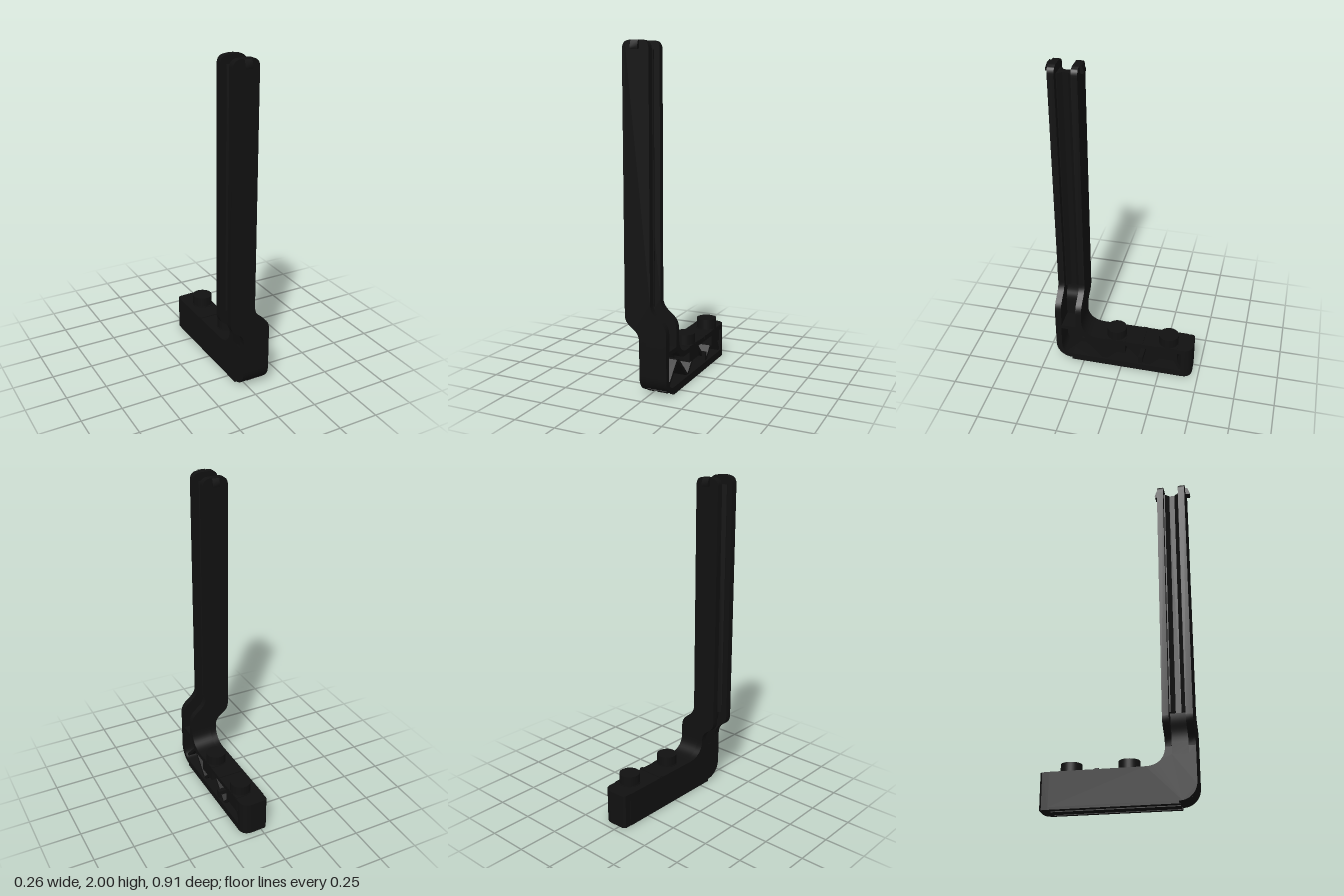
import * as THREE from 'three';
import { toCreasedNormals } from 'three/addons/utils/BufferGeometryUtils.js';

const material = new THREE.MeshStandardMaterial({ color: 0x111111 });

export function createModel() {
  const group = new THREE.Group();

  const add = (name, geometry) => {
    const mesh = new THREE.Mesh(geometry, material);
    mesh.name = name;
    group.add(mesh);
    return mesh;
  };
  const extrude = (shape, depth) => toCreasedNormals(
    new THREE.ExtrudeGeometry(shape, { depth, bevelEnabled: false, curveSegments: 10 }), 0.6);
  const polygon = (points) => new THREE.Shape(points.map(([x, y]) => new THREE.Vector2(x, y)));
  // Extrusions along each axis: side shapes use (-z, y), plan shapes use (x, -z)
  const alongZ = (name, shape, z0, z1) => add(name, extrude(shape, z1 - z0).translate(0, 0, z0));
  const alongX = (name, shape, x0, x1) => add(name, extrude(shape, x1 - x0).rotateY(Math.PI / 2).translate(x0, 0, 0));
  const alongY = (name, shape, y0, y1) => add(name, extrude(shape, y1 - y0).rotateX(-Math.PI / 2).translate(0, y0, 0));
  const box = (name, x0, x1, y0, y1, z0, z1) => add(name,
    new THREE.BoxGeometry(x1 - x0, y1 - y0, z1 - z0).translate((x0 + x1) / 2, (y0 + y1) / 2, (z0 + z1) / 2));

  // Upright flanges: rounded top, S-bend towards the base
  const flange = new THREE.Shape();
  flange.moveTo(-0.045, 0.32);
  flange.lineTo(0.125, 0.32);
  flange.lineTo(0.125, 0.38);
  flange.bezierCurveTo(0.125, 0.47, 0.025, 0.46, 0.025, 0.55);
  flange.lineTo(0.025, 1.95);
  flange.quadraticCurveTo(0.025, 2, -0.025, 2);
  flange.lineTo(-0.085, 2);
  flange.quadraticCurveTo(-0.135, 2, -0.135, 1.95);
  flange.lineTo(-0.135, 0.47);
  flange.bezierCurveTo(-0.135, 0.39, -0.045, 0.41, -0.045, 0.32);
  alongZ('rearFlange', flange, 0.26, 0.298);
  alongZ('frontFlange', flange, 0.392, 0.432);

  // Web with sloped fillets between the flanges
  alongY('uprightWeb', polygon([
    [-0.1, -0.295], [-0.1, -0.305], [-0.075, -0.33], [-0.075, -0.362], [-0.1, -0.387], [-0.1, -0.395],
    [-0.01, -0.395], [-0.01, -0.387], [-0.035, -0.362], [-0.035, -0.33], [-0.01, -0.305], [-0.01, -0.295],
  ]), 0.5, 1.95);

  // Lower web follows the bend and closes the right side of the base
  const bend = new THREE.Shape();
  bend.moveTo(-0.044, 0.2);
  bend.lineTo(-0.005, 0.2);
  bend.lineTo(-0.005, 0.36);
  bend.bezierCurveTo(-0.005, 0.45, -0.035, 0.42, -0.035, 0.52);
  bend.lineTo(-0.075, 0.52);
  bend.bezierCurveTo(-0.075, 0.42, -0.044, 0.44, -0.044, 0.34);
  alongZ('bendWeb', bend, 0.28, 0.41);

  // Retaining lips at the top of the upright
  alongX('frontLip', polygon([[-0.42, 2], [-0.445, 2], [-0.458, 1.965], [-0.455, 1.95], [-0.42, 1.955]]), -0.075, -0.03);
  alongX('rearLip', polygon([[-0.27, 2], [-0.27, 1.955], [-0.24, 1.95], [-0.237, 1.965], [-0.25, 2]]), -0.075, -0.03);

  // L-shaped side outline of the base and upright foot
  const outline = () => {
    const s = new THREE.Shape();
    s.moveTo(-0.432, 0.33);
    s.lineTo(-0.432, 0.12);
    s.bezierCurveTo(-0.432, 0.06, -0.39, 0.015, -0.33, 0.015);
    s.lineTo(0.4, 0.015);
    s.lineTo(0.4, 0.215);
    s.lineTo(-0.15, 0.215);
    s.bezierCurveTo(-0.21, 0.215, -0.26, 0.25, -0.26, 0.32);
    s.lineTo(-0.26, 0.33);
    s.lineTo(-0.298, 0.33);
    s.lineTo(-0.298, 0.275);
    s.lineTo(-0.392, 0.275);
    s.lineTo(-0.392, 0.33);
    return s;
  };
  const rim = outline();
  const cavity = new THREE.Path();
  cavity.moveTo(-0.395, 0.25);
  cavity.lineTo(-0.395, 0.12);
  cavity.quadraticCurveTo(-0.395, 0.045, -0.33, 0.045);
  cavity.lineTo(0.39, 0.045);
  cavity.lineTo(0.39, 0.185);
  cavity.lineTo(-0.17, 0.185);
  cavity.quadraticCurveTo(-0.25, 0.185, -0.28, 0.25);
  rim.holes.push(cavity);
  alongX('baseRim', rim, -0.005, 0.125);
  alongX('baseSideWall', outline(), -0.045, -0.005);

  // Rear end block with a rounded corner
  const end = new THREE.Shape();
  end.moveTo(-0.042, 0.4);
  end.lineTo(0.125, 0.4);
  end.quadraticCurveTo(0.122, 0.457, 0.06, 0.457);
  end.lineTo(-0.03, 0.453);
  end.lineTo(-0.042, 0.44);
  alongY('endBlock', end, 0, 0.215);

  // Runners under the base
  for (const [x0, x1] of [[-0.045, -0.005], [0.015, 0.085], [0.1, 0.125]]) {
    box('runner', x0, x1, 0, 0.02, -0.402, 0.33);
  }

  // Zigzag ribs in the open side
  const stops = [0.39, 0.25, 0.11, -0.03, -0.17, -0.31, -0.39];
  for (let i = 0; i < stops.length - 1; i++) {
    const [ya, yb] = i % 2 ? [0.185, 0.04] : [0.04, 0.185];
    const [ua, ub] = [-stops[i], -stops[i + 1]];
    alongX('diagonalRib', polygon([[ua - 0.012, ya], [ua + 0.012, ya], [ub + 0.012, yb], [ub - 0.012, yb]]), -0.01, 0.112);
  }

  // Mounting pegs with U-shaped bosses
  for (const z of [0.04, -0.298]) {
    const boss = new THREE.Shape();
    boss.moveTo(0.124, -z + 0.066);
    boss.lineTo(0.062, -z + 0.066);
    boss.absarc(0.062, -z, 0.066, Math.PI / 2, Math.PI * 1.5, false);
    boss.lineTo(0.124, -z - 0.066);
    alongY('pegBoss', boss, 0.12, 0.219);
    add('peg', new THREE.CylinderGeometry(0.062, 0.062, 0.08, 32).translate(0.062, 0.24, z));
  }

  // Small locating band and tab at mid base
  box('locatingBand', -0.042, 0.129, 0.2, 0.221, -0.14, -0.115);
  box('locatingTab', 0, 0.13, 0.06, 0.11, -0.142, -0.112);

  return group;
}
